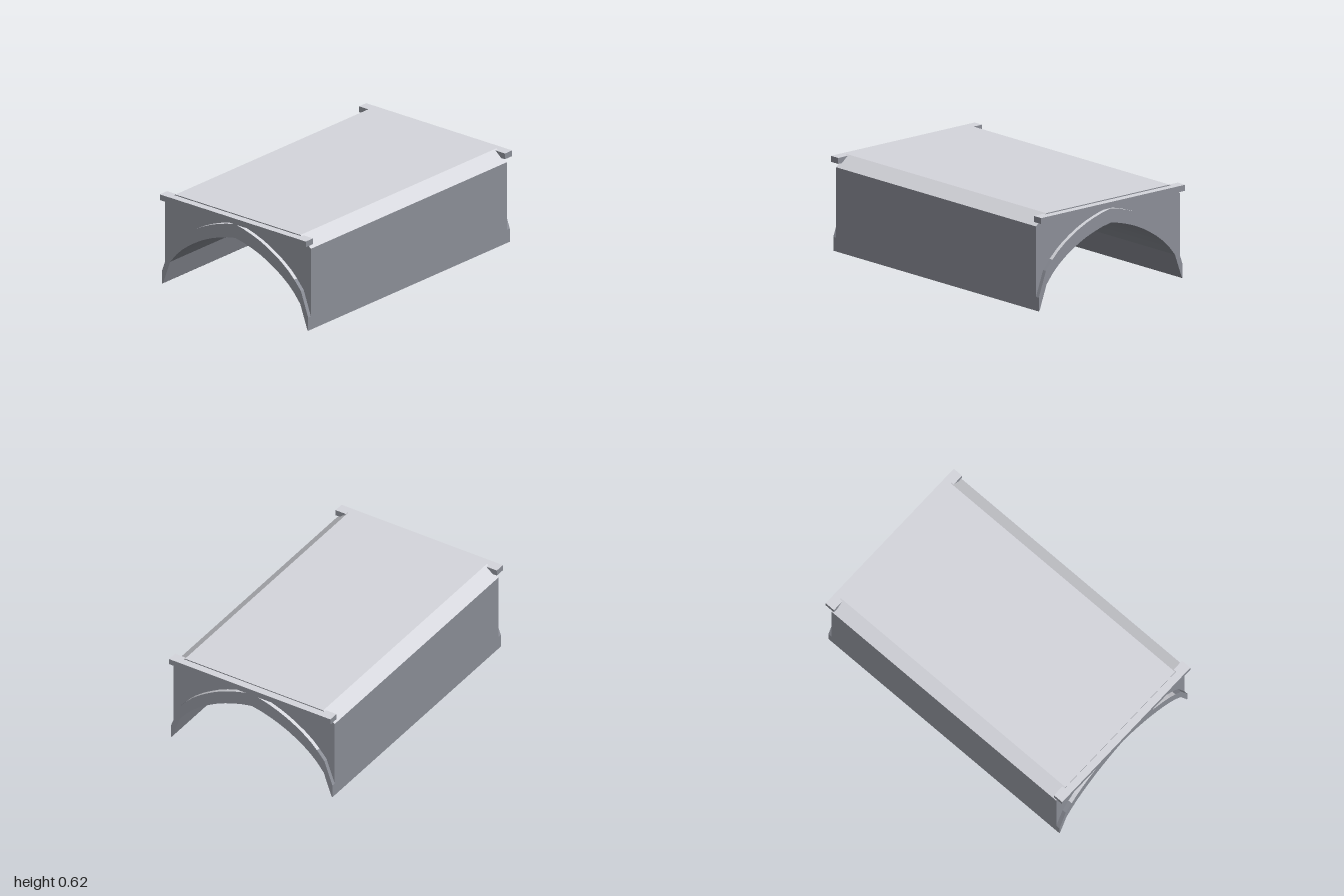
import * as THREE from 'three';

// Half profiles from the crown of the arch down to its foot
const innerArch = [[0, 0.472], [0.07, 0.458], [0.136, 0.439], [0.2, 0.416], [0.265, 0.387], [0.325, 0.354],
  [0.385, 0.316], [0.44, 0.274], [0.49, 0.226], [0.54, 0.165], [0.598, 0.005]];
const outerArch = [[0, 0.565], [0.07, 0.55], [0.136, 0.531], [0.2, 0.508], [0.265, 0.479], [0.325, 0.446],
  [0.385, 0.408], [0.44, 0.366], [0.49, 0.318], [0.545, 0.255], [0.605, 0.09]];

const mirrorX = (points) => points.map(([x, y]) => [-x, y]);

// Closed outline: across the top from left to right, then back under the arch
function outline(topRight) {
  return [
    ...mirrorX(topRight).reverse(),
    ...topRight.filter(([x]) => x > 0),
    ...[...innerArch].reverse(),
    ...mirrorX(innerArch).slice(1),
  ];
}

function extrude(points, z0, z1) {
  const shape = new THREE.Shape(points.map(([x, y]) => new THREE.Vector2(x, y)));
  const geometry = new THREE.ExtrudeGeometry(shape, { depth: z1 - z0, bevelEnabled: false });
  return geometry.translate(0, 0, z0);
}

// Faces that look upward take the second material, all others the first
function makePart(name, geometry, materials) {
  const normal = geometry.attributes.normal;
  const faceMaterial = (i) => (normal.getY(i) > 0.7 ? 1 : 0);
  geometry.clearGroups();
  let start = 0;
  for (let i = 3; i <= normal.count; i += 3) {
    if (i === normal.count || faceMaterial(i) !== faceMaterial(start)) {
      geometry.addGroup(start, i - start, faceMaterial(start));
      start = i;
    }
  }
  const mesh = new THREE.Mesh(geometry, materials);
  mesh.name = name;
  return mesh;
}

export function createModel() {
  const group = new THREE.Group();
  group.name = 'archedBridge';
  const wall = new THREE.MeshStandardMaterial({ color: 0x8c8f98 });
  wall.name = 'blue grey wall';
  const paving = new THREE.MeshStandardMaterial({ color: 0xd6d7dd });
  paving.name = 'light grey paving';
  const materials = [wall, paving];

  // Vaulted body with chamfered upper edges
  const bodyTop = [[0.518, 0.621], [0.605, 0.55], [0.605, 0]];
  group.add(makePart('body', extrude(outline(bodyTop), -0.95, 0.95), materials));

  // Raised arch ring and cap beam at each end
  const ringTop = [...outerArch, [0.605, 0]];
  for (const [end, side] of [['front', 1], ['back', -1]]) {
    const z0 = side > 0 ? 0.95 : -0.977;
    group.add(makePart(end + 'ArchRing', extrude(outline(ringTop), z0, z0 + 0.027), materials));

    const beamBox = new THREE.BoxGeometry(1.21, 0.039, 0.07).toNonIndexed();
    const beam = makePart(end + 'CapBeam', beamBox, materials);
    beam.position.set(0, 0.595, side * 0.965);
    group.add(beam);
  }
  return group;
}
